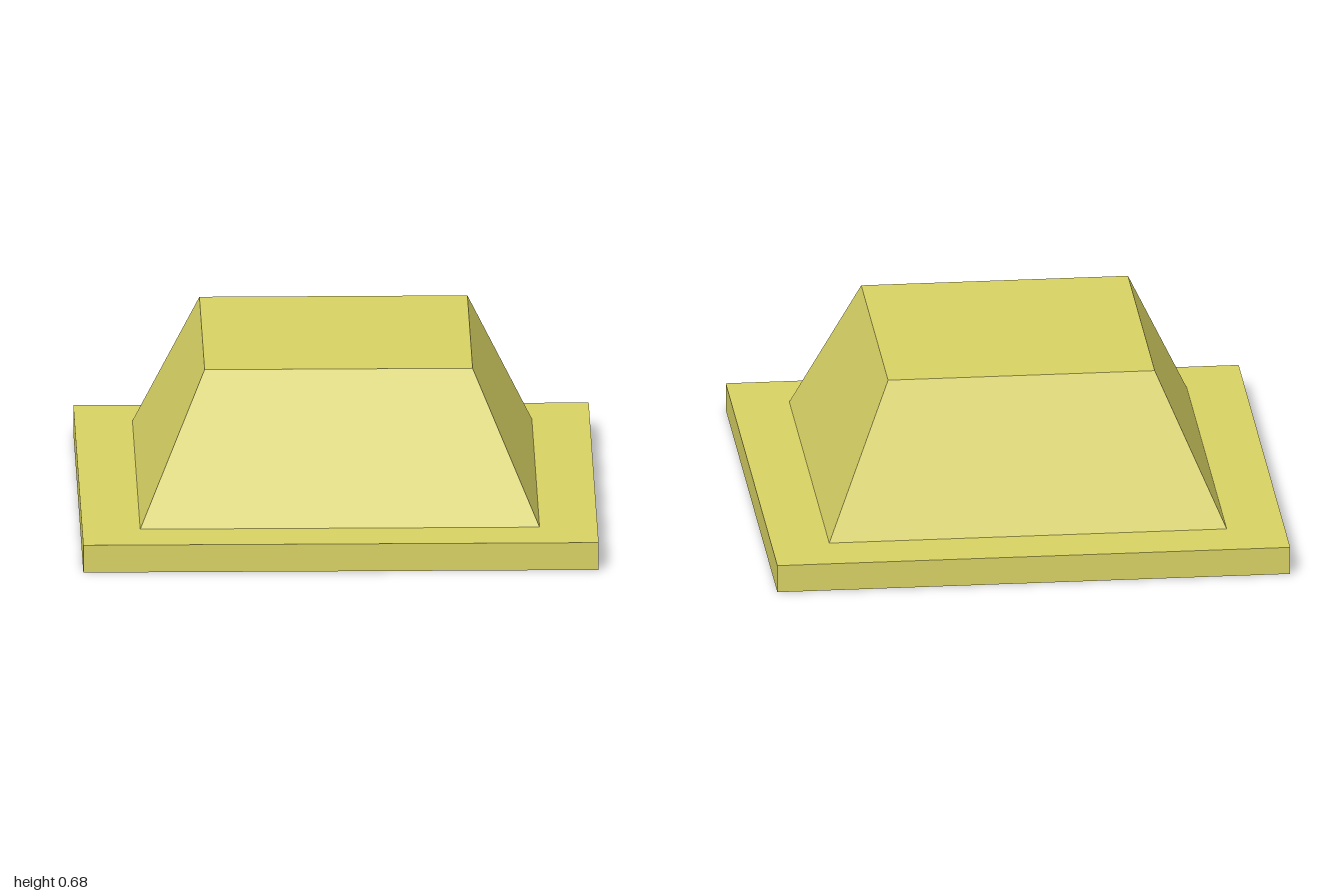
import * as THREE from 'three';

const material = new THREE.MeshStandardMaterial({
  color: 0xd8d264, flatShading: true, side: THREE.DoubleSide,
});

// Square band of thin sheet between two levels, given by half-widths and heights
function squareBand(name, halfLow, yLow, halfHigh, yHigh) {
  const profile = [[halfLow, yLow], [halfHigh, yHigh]]
    .map(([half, y]) => new THREE.Vector2(half * Math.SQRT2, y));
  const geometry = new THREE.LatheGeometry(profile, 4, Math.PI / 4).toNonIndexed();
  geometry.computeVertexNormals();
  const mesh = new THREE.Mesh(geometry, material);
  mesh.name = name;
  return mesh;
}

export function createModel() {
  const base = 1, foot = 0.775, top = 0.52;
  const flangeY = 0.11, topY = 0.68;

  const group = new THREE.Group();
  group.name = 'squareCover';

  // Open-bottomed shell: rim skirt, flat flange, sloping walls
  group.add(
    squareBand('rimSkirt', base, 0, base, flangeY),
    squareBand('flange', base, flangeY, foot, flangeY),
    squareBand('slopingWalls', foot, flangeY, top, topY),
  );

  // Flat top panel closing the walls
  const panel = new THREE.Mesh(
    new THREE.PlaneGeometry(2 * top, 2 * top).rotateX(-Math.PI / 2), material);
  panel.name = 'topPanel';
  panel.position.y = topY;
  group.add(panel);

  return group;
}
